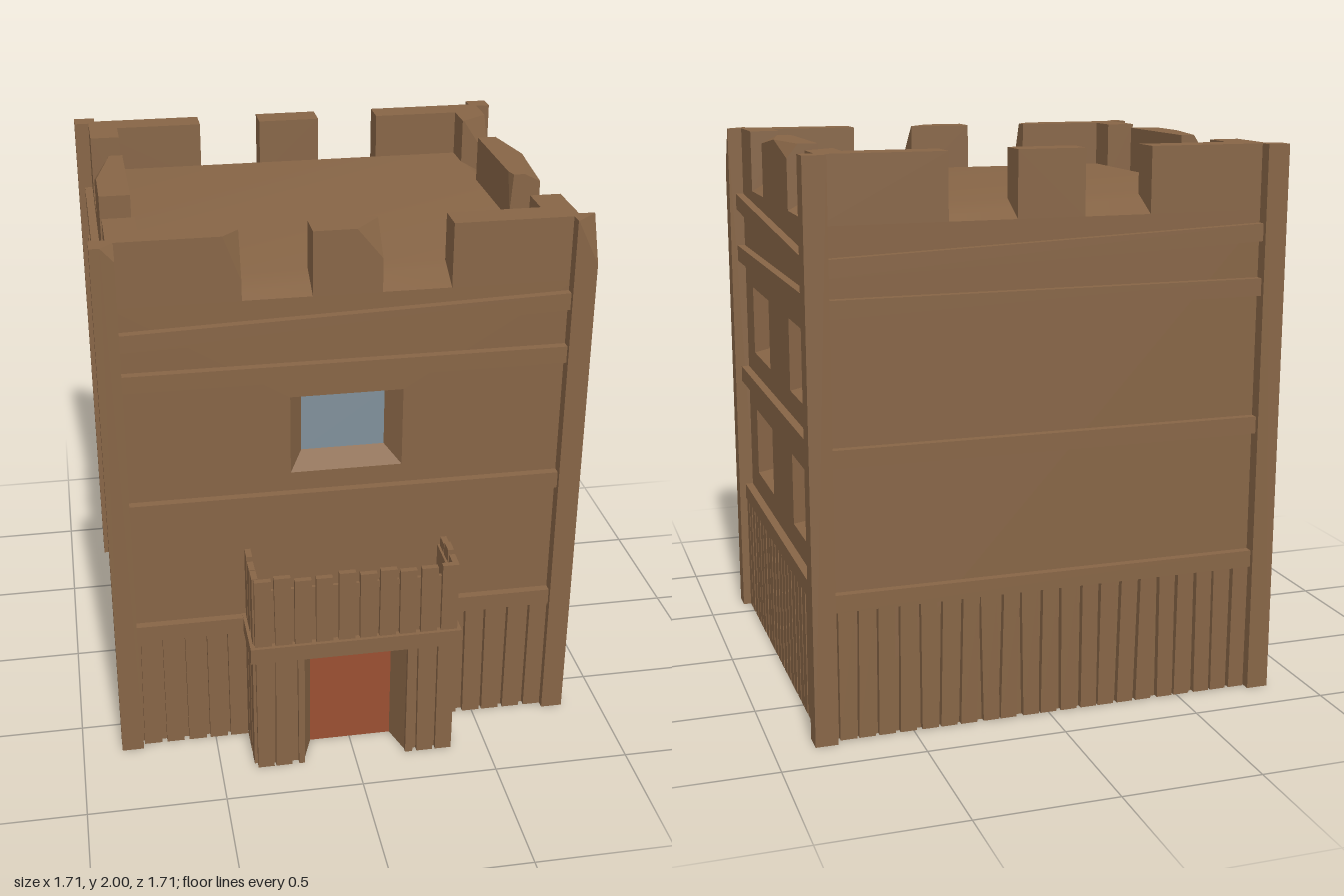
import * as THREE from 'three';
import { ConvexGeometry } from 'three/addons/geometries/ConvexGeometry.js';

const wood = new THREE.MeshStandardMaterial({ color: 0x876546, side: THREE.DoubleSide });
wood.name = 'brown wood';
const glass = new THREE.MeshStandardMaterial({ color: 0x80909a, side: THREE.DoubleSide });
glass.name = 'blue grey glass';
const red = new THREE.MeshStandardMaterial({ color: 0x9a5032, side: THREE.DoubleSide });
red.name = 'red door paint';

const HX = 0.8, HZ = 0.7125, ZC = -0.0975; // tower half sizes and centre
const WALL_TOP = 1.77, ROOF = 1.83, TOP = 2, PARAPET = 0.11;

let seed = 7;
const jitter = (a) => {
  seed = (seed * 16807) % 2147483647;
  return (seed / 2147483647 - 0.5) * 2 * a;
};

function add(parent, name, geometry, material = wood) {
  const mesh = new THREE.Mesh(geometry, material);
  mesh.name = name;
  parent.add(mesh);
  return mesh;
}

function box(parent, name, x0, x1, y0, y1, z0, z1) {
  const g = new THREE.BoxGeometry(x1 - x0, y1 - y0, z1 - z0);
  g.translate((x0 + x1) / 2, (y0 + y1) / 2, (z0 + z1) / 2);
  return add(parent, name, g);
}

// Box with some top corners broken off; chip = [signX, signZ, dx, dy, dz]
function chippedBox(parent, name, x0, x1, y0, y1, z0, z1, chips = []) {
  const pts = [];
  for (const sx of [-1, 1]) for (const sz of [-1, 1]) {
    const x = sx < 0 ? x0 : x1, z = sz < 0 ? z0 : z1;
    pts.push(new THREE.Vector3(x, y0, z));
    const c = chips.find((k) => k[0] === sx && k[1] === sz);
    if (!c) pts.push(new THREE.Vector3(x, y1, z));
    else pts.push(
      new THREE.Vector3(x - sx * c[2], y1, z),
      new THREE.Vector3(x, y1 - c[3], z),
      new THREE.Vector3(x, y1, z - sz * c[4]));
  }
  add(parent, name, new ConvexGeometry(pts));
}

// Splayed recess with a pane at its back; o = outer and i = inner [x0, x1, y0, y1]
function recess(parent, name, o, i, depth, paneMaterial) {
  const ring = (r, z) => [[r[0], r[2], z], [r[1], r[2], z], [r[1], r[3], z], [r[0], r[3], z]];
  const a = ring(o, 0), b = ring(i, -depth), pos = [];
  for (let k = o[2] > 0 ? 0 : 1; k < 4; k++) {
    const n = (k + 1) % 4;
    pos.push(...a[k], ...a[n], ...b[n], ...a[k], ...b[n], ...b[k]);
  }
  const g = new THREE.BufferGeometry();
  g.setAttribute('position', new THREE.Float32BufferAttribute(pos, 3));
  g.computeVertexNormals();
  add(parent, name + 'Recess', g);
  const pane = new THREE.PlaneGeometry(i[1] - i[0], i[3] - i[2]);
  pane.translate((i[0] + i[1]) / 2, (i[2] + i[3]) / 2, -depth);
  add(parent, name, pane, paneMaterial);
}

// Flat wall with an optional doorway notch [x0, x1, top] and window holes
function wall(parent, name, half, height, notch, holes = []) {
  const pts = [[-half, 0]];
  if (notch) pts.push([notch[0], 0], [notch[0], notch[2]], [notch[1], notch[2]], [notch[1], 0]);
  pts.push([half, 0], [half, height], [-half, height]);
  const s = new THREE.Shape(pts.map((p) => new THREE.Vector2(...p)));
  for (const [x0, x1, y0, y1] of holes) {
    s.holes.push(new THREE.Path([[x0, y0], [x0, y1], [x1, y1], [x1, y0]].map((p) => new THREE.Vector2(...p))));
  }
  add(parent, name, new THREE.ShapeGeometry(s));
}

// Row of uneven upright boards, leaving out any inside the gap half width
function planks(parent, half, count, y0, y1, z0, z1, skip = 0, topJitter = 0) {
  const pitch = (2 * half) / count;
  for (let k = 0; k < count; k++) {
    const c = -half + pitch * (k + 0.5);
    if (Math.abs(c) + pitch * 0.4 < skip) continue;
    let a = c - pitch * 0.4, b = c + pitch * 0.4;
    if (skip && a < skip && b > skip) a = skip;
    if (skip && a < -skip && b > -skip) b = -skip;
    const m = box(parent, 'plank', a, b, y0, y1 + jitter(topJitter), z0, z1);
    const p = m.geometry.attributes.position;
    const shift = [jitter(0.006), jitter(0.006)];
    for (let v = 0; v < p.count; v++) {
      const x = p.getX(v);
      if (Math.abs(x) - 0.006 > skip) p.setX(v, x + shift[p.getY(v) > y0 + 0.1 ? 0 : 1]);
    }
  }
}

// Board running across a wall, tilted by a rise from its left to its right end
function band(parent, half, y, rise = 0) {
  const g = new THREE.BoxGeometry(2 * half, 0.062, 0.03);
  const p = g.attributes.position;
  for (let v = 0; v < p.count; v++) p.setY(v, p.getY(v) + (p.getX(v) / (2 * half)) * rise);
  g.translate(0, y, 0.015);
  g.computeVertexNormals();
  add(parent, 'band', g);
}

function side(parent, name, angle, x, z) {
  const g = new THREE.Group();
  g.name = name;
  g.rotation.y = angle;
  g.position.set(x, 0, z);
  parent.add(g);
  return g;
}

function makeTower(root) {
  const tower = side(root, 'tower', 0, 0, ZC);
  // Four walls with bands, boards and windows
  const sideWindows = [];
  for (const c of [-0.36, 0.36]) for (const y of [0.62, 1.12]) {
    sideWindows.push({
      o: [c - 0.167, c + 0.167, y, y + 0.265],
      i: [c - 0.118, c + 0.118, y + 0.03, y + 0.235],
    });
  }
  const frontWindow = [{ o: [-0.2, 0.2, 1.105, 1.4], i: [-0.15, 0.15, 1.152, 1.365] }];
  const sides = [
    ['frontWall', 0, 0, HZ, HX, 19, frontWindow, 1.677, 0.05],
    ['rightWall', Math.PI / 2, HX, 0, HZ, 22, sideWindows, 1.665, -0.09],
    ['backWall', Math.PI, 0, -HZ, HX, 21, [], 1.665, 0.06],
    ['leftWall', -Math.PI / 2, -HX, 0, HZ, 22, sideWindows, 1.675, -0.06],
  ];
  for (const [name, angle, x, z, half, count, windows, y, rise] of sides) {
    const g = side(tower, name, angle, x, z);
    const isFront = name === 'frontWall';
    wall(g, 'wall', half, WALL_TOP, isFront ? [-0.34, 0.34, 0.5] : null, windows.map((w) => w.o));
    for (const w of windows) recess(g, 'window', w.o, w.i, 0.08, glass);
    for (const by of [0.5, 1.003, 1.502]) band(g, half - 0.025, by);
    band(g, half - 0.025, y, rise);
    planks(g, half - 0.025, count, 0.004, 0.47, 0, 0.026, isFront ? 0.36 : 0);
  }

  // Roof with sloping rim
  const pos = [], idx = [];
  for (const [inset, y] of [[0, WALL_TOP], [PARAPET, ROOF]]) {
    for (const [sx, sz] of [[-1, 1], [1, 1], [1, -1], [-1, -1]]) pos.push(sx * (HX - inset), y, sz * (HZ - inset));
  }
  for (let k = 0; k < 4; k++) {
    const n = (k + 1) % 4;
    idx.push(k, n, 4 + n, k, 4 + n, 4 + k);
  }
  idx.push(4, 5, 6, 4, 6, 7);
  const roof = new THREE.BufferGeometry();
  roof.setAttribute('position', new THREE.Float32BufferAttribute(pos, 3));
  roof.setIndex(idx);
  roof.computeVertexNormals();
  add(tower, 'roof', roof);

  // Battlements, with a few broken corners
  const merlon = (x0, x1, z0, z1, chips) => chippedBox(tower, 'merlon', x0, x1, WALL_TOP, TOP, z0, z1, chips);
  const ix = HX - PARAPET, iz = HZ - PARAPET;
  merlon(-HX, -0.36, iz, HZ, [[1, 1, 0.06, 0.16, 0.06]]);
  merlon(-0.12, 0.12, iz, HZ, [[1, 1, 0.09, 0.11, 0.105]]);
  merlon(0.36, HX, iz, HZ);
  for (const [a, b] of [[-HX, -0.36], [-0.12, 0.12], [0.36, HX]]) merlon(a, b, -HZ, -iz);
  merlon(ix, HX, -0.2375, 0.2375, [[1, -1, 0.04, 0.05, 0.23], [-1, 1, 0.05, 0.14, 0.04], [1, 1, 0.1, 0.03, 0.24]]);
  merlon(-HX, -ix, -0.2375, 0.2375, [[-1, -1, 0.06, 0.09, 0.28]]);
  merlon(ix, HX, -iz, -0.475, [[1, 1, 0.105, 0.16, 0.075]]);
  merlon(ix, HX, 0.475, iz);
  merlon(-HX, -ix, -iz, -0.475);
  merlon(-HX, -ix, 0.475, iz);

  // Corner posts
  const postChips = { '1,1': [[1, 1, 0.078, 0.16, 0.07]], '-1,1': [[1, 1, 0.045, 0.05, 0.05]] };
  for (const sx of [-1, 1]) for (const sz of [-1, 1]) {
    const x = sx * 0.815, z = sz * 0.7225;
    chippedBox(tower, 'cornerPost', x - 0.04, x + 0.04, 0, TOP, z - 0.0375, z + 0.0375, postChips[sx + ',' + sz]);
  }
}

function makePorch(root) {
  const porch = side(root, 'porch', 0, 0, 0);
  const zBack = 0.615, zFront = 0.825, half = 0.355, mid = (zBack + zFront) / 2, depth = (zFront - zBack) / 2;
  const faces = [['porchFront', 0, 0, zFront, half, 10],
    ['porchRight', Math.PI / 2, half, mid, depth, 3],
    ['porchLeft', -Math.PI / 2, -half, mid, depth, 3]];
  for (const [name, angle, x, z, h, count] of faces) {
    const g = side(porch, name, angle, x, z);
    const isFront = name === 'porchFront';
    wall(g, 'wall', h, 0.5, isFront ? [-0.19, 0.19, 0.47] : null);
    if (isFront) recess(g, 'door', [-0.19, 0.19, 0, 0.47], [-0.15, 0.155, 0, 0.437], 0.11, red);
    const ends = h + (isFront ? 0.02 : 0);
    planks(g, ends, count, 0, 0.47, 0, 0.02, isFront ? 0.19 : 0);
    // Balcony rail: solid lining behind uneven boards
    box(g, 'railLining', -h, h, 0.53, 0.755, -0.012, 0);
    planks(g, ends, count, 0.53, 0.8, -0.004, 0.018, 0, 0.012);
  }
  box(porch, 'porchBand', -0.385, 0.385, 0.472, 0.533, zBack, 0.856);
}

export function createModel() {
  seed = 7;
  const root = new THREE.Group();
  root.name = 'woodenTower';
  makeTower(root);
  makePorch(root);
  return root;
}
